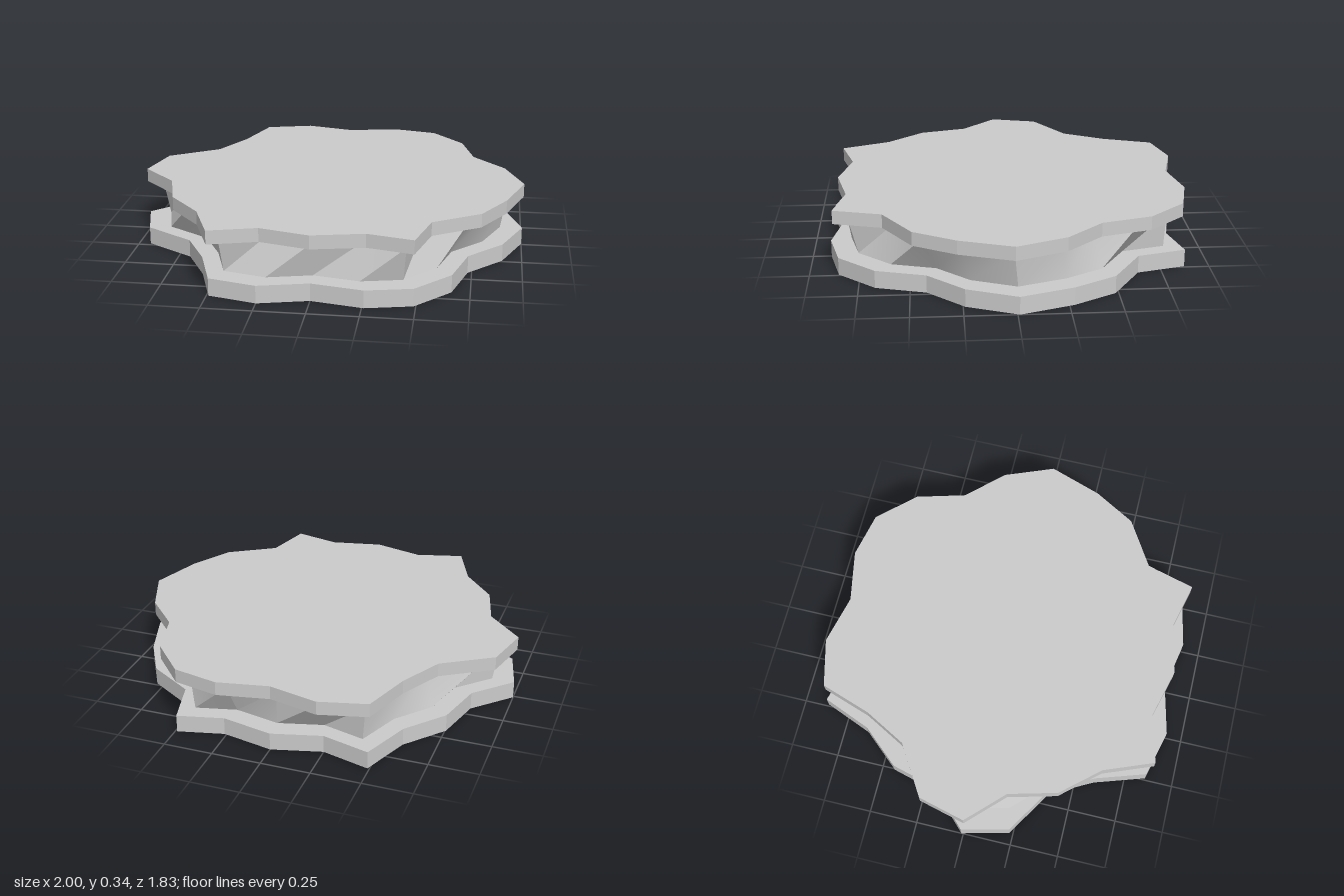
import * as THREE from 'three';
import { toCreasedNormals } from 'three/addons/utils/BufferGeometryUtils.js';

// Wavy hexagon outline as [x, z], counter-clockwise seen from above
const outline = [
  [1, 0.01], [0.9, -0.24], [0.73, -0.42], [0.66, -0.67],
  [0.49, -0.855], [0.26, -0.905], [0, -0.855], [-0.25, -0.915],
  [-0.49, -0.855], [-0.575, -0.6], [-0.69, -0.385], [-0.94, -0.23],
  [-1, 0.01], [-0.82, 0.19], [-0.755, 0.435], [-0.59, 0.625],
  [-0.49, 0.875], [-0.25, 0.81], [0, 0.875], [0.26, 0.82],
  [0.49, 0.875], [0.555, 0.63], [0.79, 0.485], [0.91, 0.275],
];
const BASE_TOP = 0.09, LID_BOTTOM = 0.27, LID_TOP = 0.34;

const material = new THREE.MeshStandardMaterial({ color: 0xcccccc });

// The lower outline is the upper one mirrored front to back
const mirrored = outline.map(([x, z]) => [x, -z]);

function plate(name, points, y, height) {
  const shape = new THREE.Shape(points.map(([x, z]) => new THREE.Vector2(x, -z)));
  const geometry = new THREE.ExtrudeGeometry(shape, { depth: height, bevelEnabled: false });
  geometry.rotateX(-Math.PI / 2).translate(0, y, 0);
  const mesh = new THREE.Mesh(geometry, material);
  mesh.name = name;
  return mesh;
}

// Inset wall twisting from the lower outline to the upper one
function neck() {
  const n = outline.length;
  // Matching lower points keep the same angular order as the upper ones
  const lower = outline.map((_, i) => mirrored[(n - i) % n]);
  const positions = [];
  const index = [];
  const addRing = (points, scale, y) =>
    points.forEach(([x, z]) => positions.push(x * scale, y, z * scale));
  addRing(lower, 0.885, BASE_TOP);
  addRing(outline, 0.915, LID_BOTTOM);
  for (let i = 0; i < n; i++) {
    const j = (i + 1) % n;
    index.push(i, j, n + j, i, n + j, n + i);
  }
  const geometry = new THREE.BufferGeometry();
  geometry.setAttribute('position', new THREE.Float32BufferAttribute(positions, 3));
  geometry.setIndex(index);
  const mesh = new THREE.Mesh(toCreasedNormals(geometry, 0.6), material);
  mesh.name = 'neck';
  return mesh;
}

export function createModel() {
  const group = new THREE.Group();
  group.name = 'wavyHexTile';
  group.add(
    plate('basePlate', mirrored, 0, BASE_TOP),
    neck(),
    plate('topPlate', outline, LID_BOTTOM, LID_TOP - LID_BOTTOM),
  );
  return group;
}
